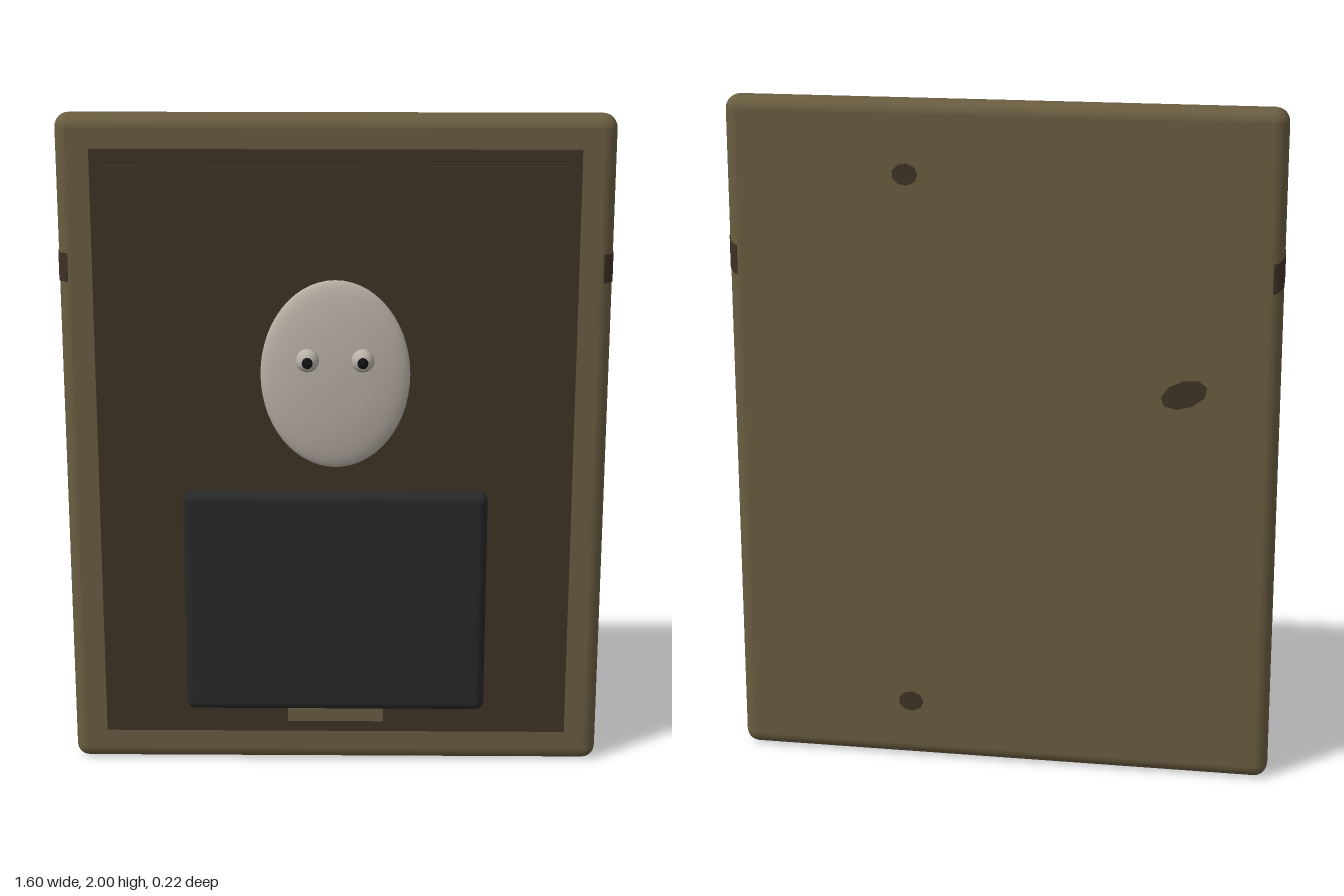
import * as THREE from 'three';
import { RoundedBoxGeometry } from 'three/addons/geometries/RoundedBoxGeometry.js';

const material = (name, color) => {
  const m = new THREE.MeshStandardMaterial({ color });
  m.name = name;
  return m;
};

export function createModel() {
  const group = new THREE.Group();
  const frameMat = material('olive wood', 0x695c40);
  const darkMat = material('dark brown', 0x3d3225);
  const blackMat = material('charcoal', 0x272727);
  const paleMat = material('pale grey', 0xb8b0a6);
  const pupilMat = material('pupil black', 0x121212);

  const add = (name, geometry, mat, x, y, z) => {
    const mesh = new THREE.Mesh(geometry, mat);
    mesh.name = name;
    mesh.position.set(x, y, z);
    group.add(mesh);
    return mesh;
  };

  // Frame slab with two stepped canvas panels
  const slabZ = -0.0625, slabR = 0.04, halfDepth = 0.0475;
  add('frame', new RoundedBoxGeometry(1.6, 2, halfDepth * 2, 3, slabR), frameMat, 0, 1, slabZ);
  add('innerFrame', new THREE.BoxGeometry(1.4, 1.8, 0.06), darkMat, 0, 1.005, -0.03);
  add('canvas', new THREE.BoxGeometry(1.32, 1.72, 0.06), darkMat, 0, 1.0, -0.018);
  add('namePlate', new THREE.BoxGeometry(0.29, 0.042, 0.008), frameMat, 0, 0.165, 0.0095);

  // Portrait: torso block, flattened head and bulging eyes
  add('torso', new RoundedBoxGeometry(0.9, 0.695, 0.07, 3, 0.027), blackMat, 0, 0.5425, 0.018);
  add('head', new THREE.SphereGeometry(1, 40, 28), paleMat, 0, 1.247, 0.012).scale.set(0.218, 0.283, 0.04);
  for (const side of [-1, 1]) {
    add('eye', new THREE.SphereGeometry(0.034, 20, 14), paleMat, side * 0.08, 1.305, 0.066);
    add('pupil', new THREE.SphereGeometry(0.017, 10, 8), pupilMat, side * 0.08, 1.305, 0.092);
  }

  // Dark worn patches wrapped around both side edges
  const profile = [[0.76, -0.02]];
  for (let i = 0; i <= 12; i++) {
    const a = THREE.MathUtils.degToRad(-72 + i * 12);
    const flat = Math.sign(Math.round(Math.sin(a) * 100)) * (halfDepth - slabR);
    profile.push([0.76 + 0.042 * Math.cos(a), flat + 0.042 * Math.sin(a)]);
  }
  profile.push([0.76, 0.02]);
  const patchShape = new THREE.Shape(profile.map(([x, z]) => new THREE.Vector2(x, -z)));
  const patchGeo = new THREE.ExtrudeGeometry(patchShape, { depth: 0.085, bevelEnabled: false });
  patchGeo.rotateX(-Math.PI / 2);
  // Slope the patch down toward the back
  const p = patchGeo.attributes.position;
  for (let i = 0; i < p.count; i++) p.setY(i, p.getY(i) + Math.min(0, p.getZ(i)) * 0.7);
  patchGeo.computeVertexNormals();
  for (const side of [-1, 1]) {
    add('sidePatch', patchGeo, darkMat, 0, 1.515, slabZ).scale.x = side;
  }

  // Dark spots on the back
  const spots = [
    [0.275, 1.79, 0.038, 0.032, 0],
    [0.275, 0.18, 0.038, 0.032, 0],
    [-0.53, 1.18, 0.07, 0.04, 0.35],
  ];
  for (const [x, y, rx, ry, tilt] of spots) {
    const spot = add('backSpot', new THREE.CircleGeometry(1, 9), darkMat, x, y, -0.1115);
    spot.scale.set(rx, ry, 1);
    spot.rotation.set(0, Math.PI, tilt);
    spot.rotation.order = 'YXZ';
  }

  return group;
}
